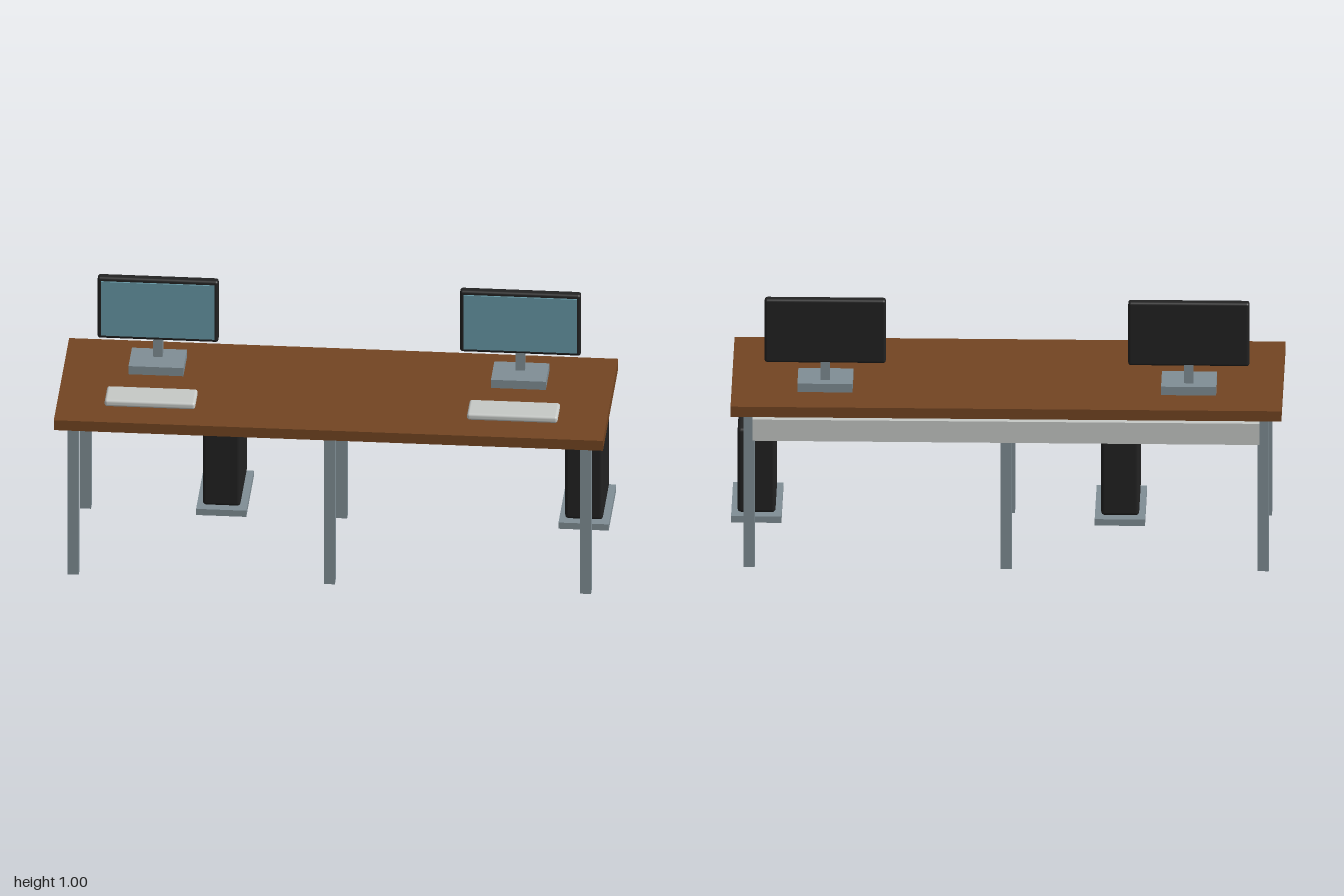
import * as THREE from 'three';
import { RoundedBoxGeometry } from 'three/addons/geometries/RoundedBoxGeometry.js';

function material(name, color) {
  const m = new THREE.MeshStandardMaterial({ color });
  m.name = name;
  return m;
}

export function createModel() {
  const wood = material('brown wood', 0x734522);
  const steel = material('grey steel', 0x808e95);
  const black = material('black plastic', 0x222222);
  const light = material('light grey', 0xc6c9c6);
  const glass = material('blue screen', 0x6698a5);

  // Box given by its min/max extents, with optional rounded edges
  function box(parent, name, mat, [x0, x1], [y0, y1], [z0, z1], radius = 0) {
    const w = x1 - x0, h = y1 - y0, d = z1 - z0;
    const geometry = radius
      ? new RoundedBoxGeometry(w, h, d, 3, radius)
      : new THREE.BoxGeometry(w, h, d);
    const mesh = new THREE.Mesh(geometry, mat);
    mesh.name = name;
    mesh.position.set((x0 + x1) / 2, (y0 + y1) / 2, (z0 + z1) / 2);
    parent.add(mesh);
    return mesh;
  }

  const model = new THREE.Group();
  model.name = 'doubleDesk';

  // Table: top, six legs and the cable tray under the back edge
  box(model, 'desktop', wood, [-1, 1], [0.607, 0.647], [-0.333, 0.333]);
  for (const x of [-0.933, 0, 0.933]) {
    for (const z of [-0.267, 0.267]) {
      box(model, 'leg', steel, [x - 0.02, x + 0.02], [0, 0.607], [z - 0.02, z + 0.02]);
    }
  }
  box(model, 'cableTray', light, [-0.92, 0.92], [0.51, 0.593], [-0.323, -0.225]);

  // Two identical workstations
  for (const x of [-0.66, 0.66]) {
    const station = new THREE.Group();
    station.name = 'workstation';
    station.position.x = x;
    model.add(station);

    // Monitor on its stand
    box(station, 'monitorBase', steel, [-0.1, 0.1], [0.652, 0.685], [-0.2, -0.05]);
    box(station, 'monitorNeck', steel, [-0.017, 0.017], [0.685, 0.757], [-0.165, -0.133]);
    box(station, 'monitorCase', black, [-0.22, 0.22], [0.752, 1], [-0.167, -0.131], 0.01);
    box(station, 'screen', glass, [-0.207, 0.207], [0.767, 0.985], [-0.132, -0.125]);

    box(station, 'keyboard', light, [-0.165, 0.165], [0.652, 0.679], [0.098, 0.22], 0.01);

    // Computer tower on its hanging shelf, to the side of the seat
    box(station, 'towerCase', black, [0.179, 0.317], [0.187, 0.517], [-0.227, 0.063], 0.013);
    box(station, 'towerShelf', steel, [0.157, 0.34], [0.156, 0.181], [-0.244, 0.08]);
  }

  return model;
}
